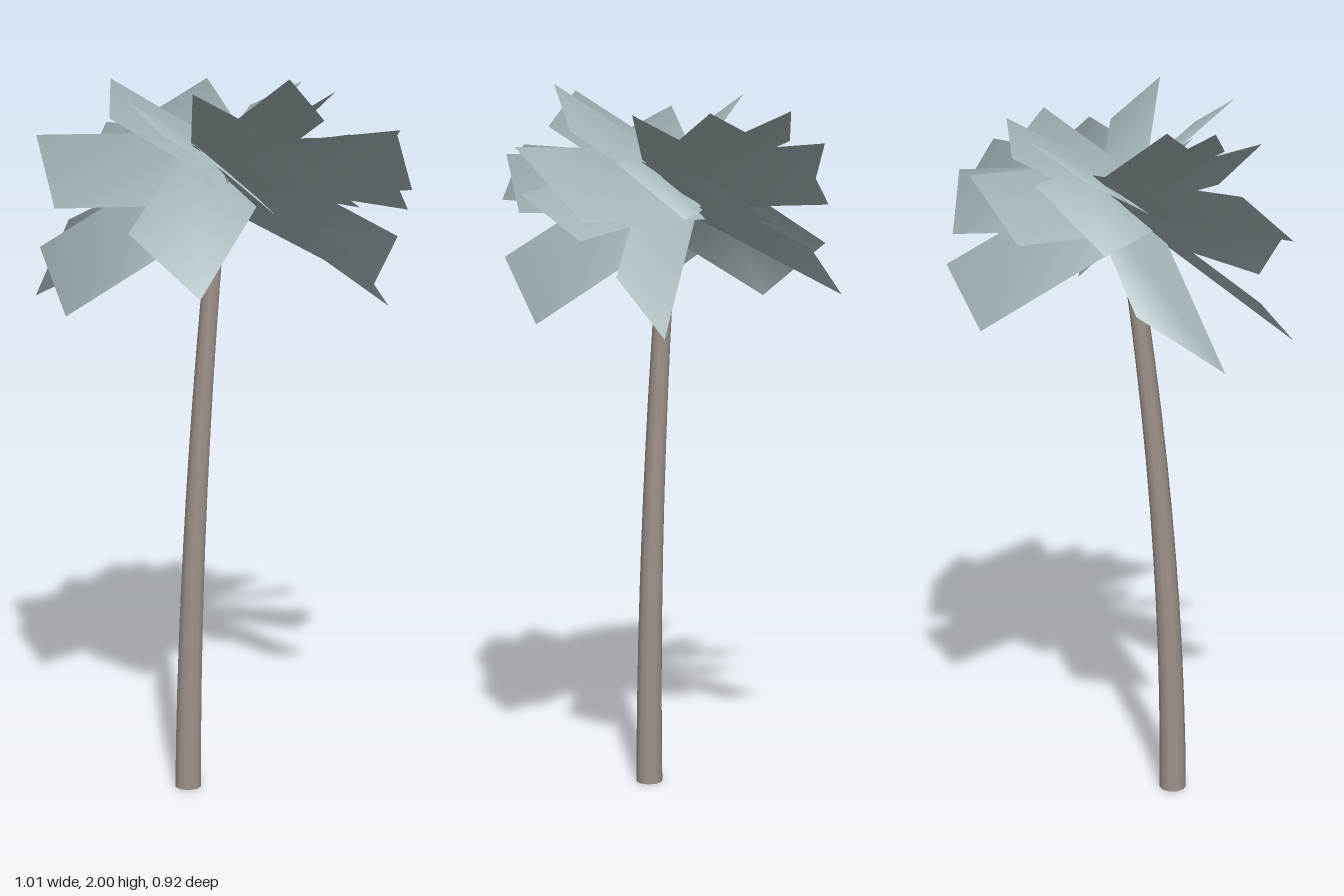
import * as THREE from 'three';

const bark = new THREE.MeshStandardMaterial({ color: 0x9d938a });
bark.name = 'greyBrownBark';
const leaf = new THREE.MeshStandardMaterial({ color: 0xa8b9bd, side: THREE.DoubleSide });
leaf.name = 'greyGreenLeaf';

// Each frond is a flat twisted card: [raised tip corner x,y,z, lowered tip corner x,y,z]
const lowerFronds = [
  [-0.51, 1.54, 0.025, -0.445, 1.37, 0.255],
  [-0.35, 1.53, 0.35, -0.18, 1.38, 0.455],
  [0.02, 1.62, 0.445, 0.21, 1.46, 0.395],
  [0.47, 1.55, 0.07, 0.465, 1.39, -0.105],
  [0.35, 1.53, -0.335, 0.24, 1.37, -0.39],
  [-0.155, 1.59, -0.46, -0.31, 1.45, -0.37],
];
const middleFronds = [
  [-0.40, 1.82, -0.01, -0.36, 1.67, 0.17],
  [-0.40, 1.82, 0.295, -0.22, 1.66, 0.445],
  [0.25, 1.82, 0.40, 0.37, 1.68, 0.29],
  [0.39, 1.81, 0.22, 0.45, 1.67, 0.02],
  [0.505, 1.85, -0.07, 0.42, 1.67, -0.29],
  [0.495, 1.73, -0.08, 0.42, 1.62, -0.27],
  [0.35, 1.82, -0.34, 0.21, 1.68, -0.44],
  [0.135, 1.78, -0.43, -0.07, 1.65, -0.445],
  [-0.17, 1.83, -0.395, -0.33, 1.68, -0.27],
  [-0.345, 1.84, -0.225, -0.41, 1.67, -0.05],
];
const upperFronds = [
  [-0.29, 1.96, 0.11, -0.215, 1.87, 0.215],
  [-0.135, 1.925, 0.245, 0.01, 1.85, 0.28],
  [0.13, 1.97, 0.315, 0.265, 1.88, 0.215],
  [0.295, 2.0, 0.12, 0.315, 1.88, -0.015],
  [0.23, 1.93, -0.2, 0.10, 1.85, -0.285],
  [0.055, 1.935, -0.3, -0.105, 1.86, -0.285],
  [-0.225, 1.93, -0.245, -0.315, 1.84, -0.095],
];

// Fronds share domed normals, fanning out from a point below the crown
const domeCentre = new THREE.Vector3(0, 1.25, 0);

// A card whose inner edge is centred on the crown and parallel to its tip
function makeFrond(tip, crown) {
  const a = new THREE.Vector3(...tip.slice(0, 3));
  const b = new THREE.Vector3(...tip.slice(3));
  const half = b.clone().sub(a).multiplyScalar(0.5);
  const corners = [crown.clone().sub(half), a, b, crown.clone().add(half)];
  const normals = corners.flatMap((c) => c.clone().sub(domeCentre).normalize().toArray());
  const geometry = new THREE.BufferGeometry().setFromPoints(corners);
  geometry.setAttribute('normal', new THREE.Float32BufferAttribute(normals, 3));
  geometry.setIndex([0, 1, 2, 0, 2, 3]);
  return new THREE.Mesh(geometry, leaf);
}

function makeRing(name, tips, crownY) {
  const ring = new THREE.Group();
  ring.name = name;
  const crown = new THREE.Vector3(0, crownY, 0);
  tips.forEach((tip, i) => {
    const frond = makeFrond(tip, crown);
    frond.name = `${name}Frond${i + 1}`;
    ring.add(frond);
  });
  return ring;
}

// Tapered trunk that leans back increasingly towards the crown
function makeTrunk() {
  const height = 1.7;
  const geometry = new THREE.CylinderGeometry(0.023, 0.038, height, 10, 12);
  geometry.translate(0, height / 2, 0);
  const p = geometry.attributes.position;
  for (let i = 0; i < p.count; i++) {
    const y = p.getY(i);
    p.setX(i, p.getX(i) - 0.01 * (1 - y / height));
    p.setZ(i, p.getZ(i) + 0.152 - 0.052 * Math.pow(Math.max(y, 0), 1.9));
  }
  const trunk = new THREE.Mesh(geometry, bark);
  trunk.name = 'trunk';
  return trunk;
}

export function createModel() {
  const palm = new THREE.Group();
  palm.name = 'palmTree';
  palm.add(
    makeTrunk(),
    makeRing('lowerLeaves', lowerFronds, 1.71),
    makeRing('middleLeaves', middleFronds, 1.73),
    makeRing('upperLeaves', upperFronds, 1.74),
  );
  return palm;
}
